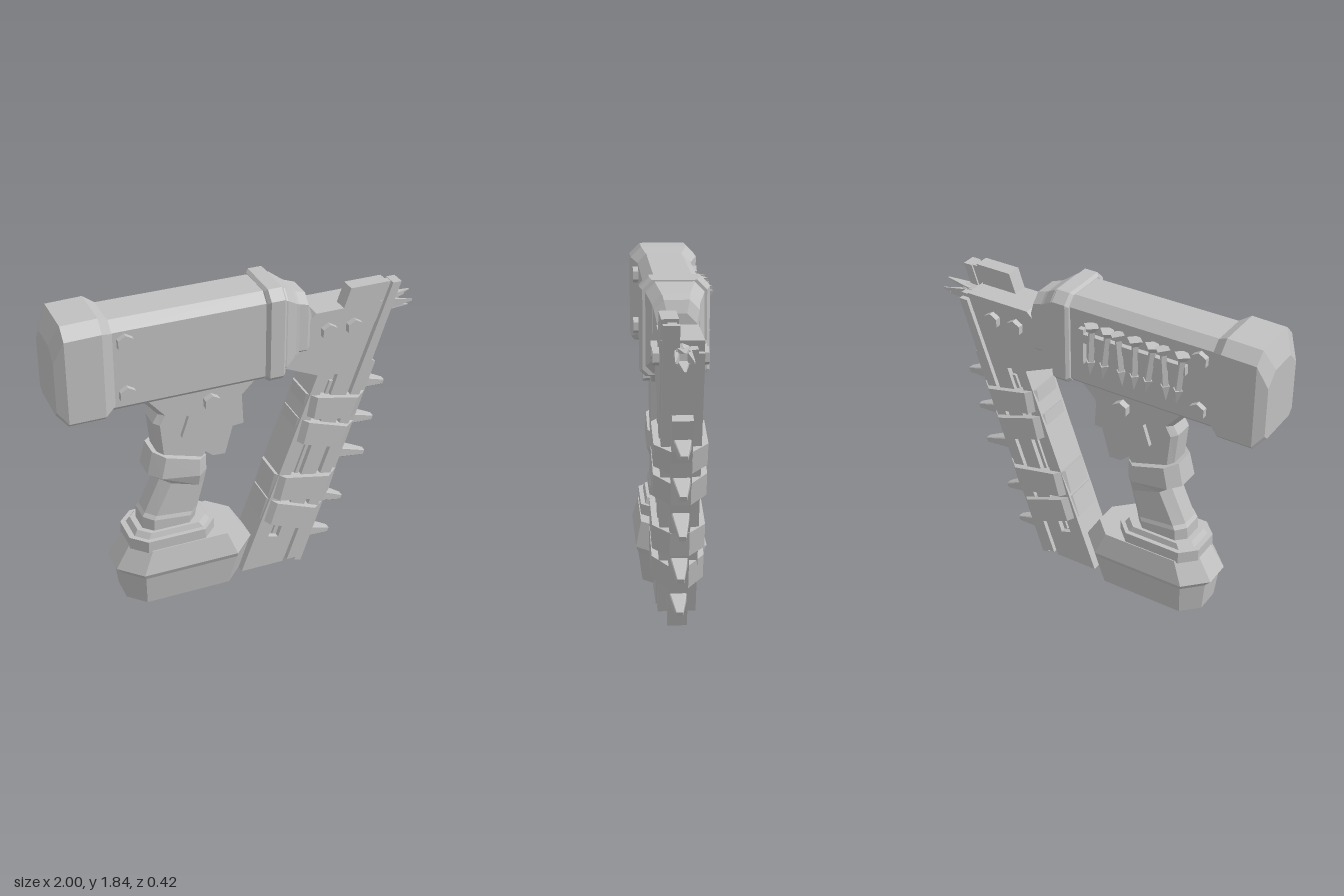
import * as THREE from 'three';

const ZC = 0.015; // middle plane of the tool

export function createModel() {
  const model = new THREE.Group();
  model.name = 'nailGun';
  const grey = new THREE.MeshStandardMaterial({ color: 0xc0c0c0, flatShading: true });
  grey.name = 'plain grey';

  const add = (name, geo, x = 0, y = 0, z = 0, parent = model) => {
    const m = new THREE.Mesh(geo, grey);
    m.name = name;
    m.position.set(x, y, z);
    parent.add(m);
    return m;
  };

  // Lofts chamfered rectangles; a section is [x0, y0, x1, y1, halfDepth, chamferAtStart, chamferAtEnd]
  const loft = (name, sections) => {
    const rings = sections.map(([x0, y0, x1, y1, h, c0, c1 = c0]) => {
      const a = new THREE.Vector3(x0, y0, ZC), b = new THREE.Vector3(x1, y1, ZC);
      const d = b.clone().sub(a).normalize();
      const at = (p, s, z) => p.clone().addScaledVector(d, s).setZ(ZC + z);
      return [at(a, 0, h - c0), at(a, c0, h), at(b, -c1, h), at(b, 0, h - c1),
        at(b, 0, c1 - h), at(b, -c1, -h), at(a, c0, -h), at(a, 0, c0 - h)];
    });
    const tris = [];
    for (let i = 0; i + 1 < rings.length; i++) {
      for (let j = 0; j < 8; j++) {
        const k = (j + 1) % 8, r = rings[i], s = rings[i + 1];
        tris.push([r[j], r[k], s[k]], [r[j], s[k], s[j]]);
      }
    }
    const last = rings[rings.length - 1];
    for (let j = 1; j < 7; j++) {
      tris.push([rings[0][0], rings[0][j + 1], rings[0][j]], [last[0], last[j], last[j + 1]]);
    }
    // Turn every face outward
    let volume = 0;
    for (const [a, b, c] of tris) volume += a.dot(b.clone().cross(c));
    if (volume < 0) tris.forEach((t) => t.reverse());
    const geo = new THREE.BufferGeometry().setFromPoints(tris.flat());
    geo.computeVertexNormals();
    return add(name, geo);
  };

  // Flat plate cut from a side outline, between two depths
  const plate = (name, pts, z0, z1, holes = []) => {
    const path = (p) => p.map(([x, y]) => new THREE.Vector2(x, y));
    const shape = new THREE.Shape(path(pts));
    holes.forEach((h) => shape.holes.push(new THREE.Path(path(h))));
    const geo = new THREE.ExtrudeGeometry(shape, { depth: z1 - z0, bevelEnabled: false });
    return add(name, geo, 0, 0, ZC + z0);
  };

  // Motor housing
  loft('rearCap', [
    [-1, 1.36, -1, 1.73, 0.15, 0.03, 0.07], [-0.95, 1.31, -0.95, 1.845, 0.187, 0.02, 0.06],
    [-0.76, 1.31, -0.76, 1.85, 0.187, 0.02, 0.06], [-0.7, 1.34, -0.7, 1.815, 0.15, 0.02, 0.05],
  ]);
  loft('housing', [
    [-0.73, 1.325, -0.73, 1.818, 0.15, 0.025, 0.05], [0.14, 1.325, 0.14, 1.818, 0.15, 0.025, 0.05],
  ]);
  loft('frontCollar', [
    [0.11, 1.33, 0.11, 1.82, 0.165, 0.03, 0.05], [0.125, 1.32, 0.125, 1.835, 0.18, 0.03, 0.05],
    [0.2, 1.32, 0.2, 1.835, 0.18, 0.03, 0.05], [0.215, 1.33, 0.215, 1.82, 0.165, 0.03, 0.05],
  ]);
  loft('noseStep', [
    [0.2, 1.34, 0.2, 1.815, 0.15, 0.04, 0.05], [0.23, 1.34, 0.23, 1.81, 0.15, 0.04, 0.05],
    [0.29, 1.38, 0.29, 1.77, 0.125, 0.04, 0.05], [0.31, 1.39, 0.31, 1.76, 0.12, 0.04, 0.05],
  ]);
  loft('noseTip', [
    [0.3, 1.4, 0.3, 1.765, 0.12, 0.04, 0.05], [0.36, 1.395, 0.36, 1.745, 0.115, 0.04, 0.05],
    [0.385, 1.42, 0.385, 1.68, 0.1, 0.04, 0.05],
  ]);

  // Handle
  loft('handleNeck', [
    [-0.57, 1.34, -0.05, 1.34, 0.085, 0.03], [-0.45, 1.2, -0.1, 1.2, 0.085, 0.03],
    [-0.48, 1.15, -0.14, 1.1, 0.085, 0.03], [-0.46, 0.95, -0.2, 0.87, 0.085, 0.03],
  ]);
  loft('handGrip', [
    [-0.49, 0.98, -0.19, 0.89, 0.12, 0.06], [-0.52, 0.85, -0.19, 0.8, 0.125, 0.06],
    [-0.45, 0.8, -0.2, 0.72, 0.1, 0.05], [-0.54, 0.6, -0.24, 0.57, 0.1, 0.05],
    [-0.555, 0.58, -0.25, 0.55, 0.108, 0.05], [-0.56, 0.5, -0.26, 0.5, 0.108, 0.05],
  ]);
  plate('triggerHousing', [[-0.55, 1.34], [-0.42, 1.28], [-0.3, 1.18], [-0.34, 1.06], [-0.17, 0.91],
    [-0.1, 0.905], [-0.01, 1.24], [0.09, 1.34]], -0.11, 0.11);
  plate('trigger', [[-0.1, 1.02], [0.03, 1.03], [0.02, 1.2], [0.0, 1.26], [-0.1, 1.26]], -0.05, 0.05);

  // Battery base
  loft('upperBaseCollar', [[-0.61, 0.48, -0.18, 0.48, 0.135, 0.06], [-0.59, 0.51, -0.2, 0.51, 0.125, 0.06]]);
  loft('lowerBaseCollar', [[-0.64, 0.41, -0.155, 0.41, 0.16, 0.08], [-0.64, 0.48, -0.155, 0.48, 0.16, 0.08]]);
  loft('batteryBase', [
    [-0.67, 0.08, 0.0, 0.08, 0.16, 0.09, 0.1], [-0.69, 0.26, 0.06, 0.26, 0.183, 0.1, 0.12],
    [-0.72, 0.29, 0.07, 0.29, 0.196, 0.12, 0.13], [-0.64, 0.42, -0.01, 0.42, 0.165, 0.1, 0.1],
  ]);

  // Slanted nail magazine: a core, slotted side plates and a narrower front
  const railX = (y) => 0.25 + 0.348 * (y - 0.08);
  const frontX = (y) => 0.36 + 0.327 * (y - 0.08);
  const sideOutline = [[0.0, 0.08], [railX(0.08), 0.08], [railX(1.63), 1.63], [0.41, 1.63], [0.38, 1.6],
    [0.24, 1.5], [0.2, 1.36], [0.43, 1.26], [0.07, 0.27]];
  const slot = [[0.16, 0.28], [0.22, 0.26], [0.55, 1.24], [0.49, 1.26]];
  plate('magazineCore', sideOutline, -0.075, 0.075);
  for (const s of [-1, 1]) {
    plate('magazineSide', sideOutline, s > 0 ? 0.075 : -0.105, s > 0 ? 0.105 : -0.075, [slot]);
  }
  const strip = (inset, y1) => [[railX(0.08) + inset, 0.08], [frontX(0.08), 0.08],
    [frontX(y1), y1], [railX(y1) + inset, y1]];
  plate('railGroove', strip(-0.02, 1.6), -0.07, 0.07);
  plate('magazineFront', strip(0.03, 1.58), -0.1, 0.1);
  plate('magazineInsert', [[0.19, 0.28], [0.21, 0.28], [0.53, 1.2], [0.51, 1.2]], -0.09, 0.09);
  // Tall guide on the front half only
  plate('tallGuide', [[0.54, 1.55], [0.605, 1.738], [railX(1.735) - 0.01, 1.738], [railX(1.55) - 0.01, 1.55]], 0.02, 0.105);
  plate('tallGuideGroove', [[0.7, 1.5], [0.76, 1.72], [0.87, 1.72], [0.8, 1.5]], 0.03, 0.075);
  plate('tallGuideFront', [[railX(1.5) + 0.03, 1.5], [railX(1.72) + 0.03, 1.722], [0.9, 1.722], [frontX(1.5), 1.5]], 0.02, 0.1);
  plate('frontStrip', [[0.35, 0.02], [0.39, 0.01], [0.8, 1.24], [0.76, 1.26]], -0.052, 0.052);

  // Bands wrapped round the magazine: lower edge then upper edge
  [
    [0.355, 1.025, 0.7, 0.945, 0.375, 1.15, 0.745, 1.07],
    [0.3, 0.88, 0.645, 0.765, 0.33, 1.01, 0.685, 0.89],
    [0.165, 0.54, 0.55, 0.46, 0.2, 0.68, 0.59, 0.6],
    [0.115, 0.4, 0.47, 0.25, 0.155, 0.53, 0.51, 0.39],
  ].forEach((b) => loft('magazineBand', [
    [...b.slice(0, 4), 0.135, 0.05, 0.085], [...b.slice(4), 0.135, 0.05, 0.085],
  ]));

  // Spikes along the front strip: root and tip
  [[0.72, 1.12, 0.88, 1.075], [0.65, 0.905, 0.825, 0.855], [0.58, 0.7, 0.785, 0.635],
    [0.49, 0.43, 0.655, 0.36], [0.42, 0.2, 0.58, 0.15]].forEach(([x, y, u, v]) => loft('spike', [
    [x, y - 0.035, x + 0.02, y + 0.03, 0.05, 0.006], [u - 0.01, v - 0.013, u, v + 0.015, 0.018, 0.003],
  ]));

  // Muzzle with four claws
  add('muzzle', new THREE.CylinderGeometry(0.045, 0.05, 0.2, 8).rotateZ(-Math.PI / 2), 0.78, 1.57, ZC + 0.005);
  for (let i = 0; i < 4; i++) {
    const pivot = new THREE.Group();
    pivot.name = 'clawMount';
    pivot.position.set(0.84, 1.57, ZC + 0.005);
    pivot.rotation.x = i * Math.PI / 2;
    model.add(pivot);
    const geo = new THREE.CylinderGeometry(0.006, 0.042, 0.16, 4, 1).rotateY(Math.PI / 4)
      .scale(0.5, 1, 1.1).rotateZ(-Math.PI / 2 + 0.12);
    add('claw', geo, 0.08, 0.035, 0, pivot);
  }

  // Hexagonal bolts on both sides: x, y, half width across the tool
  [[-0.64, 1.71, 0.18], [-0.64, 1.42, 0.18], [-0.18, 1.25, 0.148], [0.48, 1.52, 0.138], [0.625, 1.52, 0.138]]
    .forEach(([x, y, h]) => {
      for (const s of [-1, 1]) {
        add('bolt', new THREE.CylinderGeometry(0.046, 0.046, 0.05, 6).rotateX(Math.PI / 2), x, y, ZC + s * (h - 0.025));
      }
    });

  // Spare nails strapped to the back
  add('nailStrap', new THREE.BoxGeometry(0.6, 0.05, 0.03), -0.27, 1.63, -0.15);
  add('nailStrapEnd', new THREE.BoxGeometry(0.03, 0.2, 0.03), 0.03, 1.58, -0.15);
  for (let i = 0; i < 7; i++) {
    const nail = new THREE.Group();
    nail.name = 'spareNail';
    nail.position.set(-0.54 + i * 0.085, 1.58, -0.162);
    nail.rotation.z = [0.1, -0.08, 0.14, 0.02, -0.1, 0.12, 0.05][i];
    model.add(nail);
    add('nailShaft', new THREE.CylinderGeometry(0.02, 0.02, 0.18, 4), 0, 0.02, 0, nail);
    add('nailPoint', new THREE.ConeGeometry(0.028, 0.09, 4).rotateX(Math.PI), 0, -0.11, 0, nail);
    add('nailHead', new THREE.CylinderGeometry(0.045, 0.02, 0.035, 4), 0, 0.125, -0.005, nail);
  }
  return model;
}
